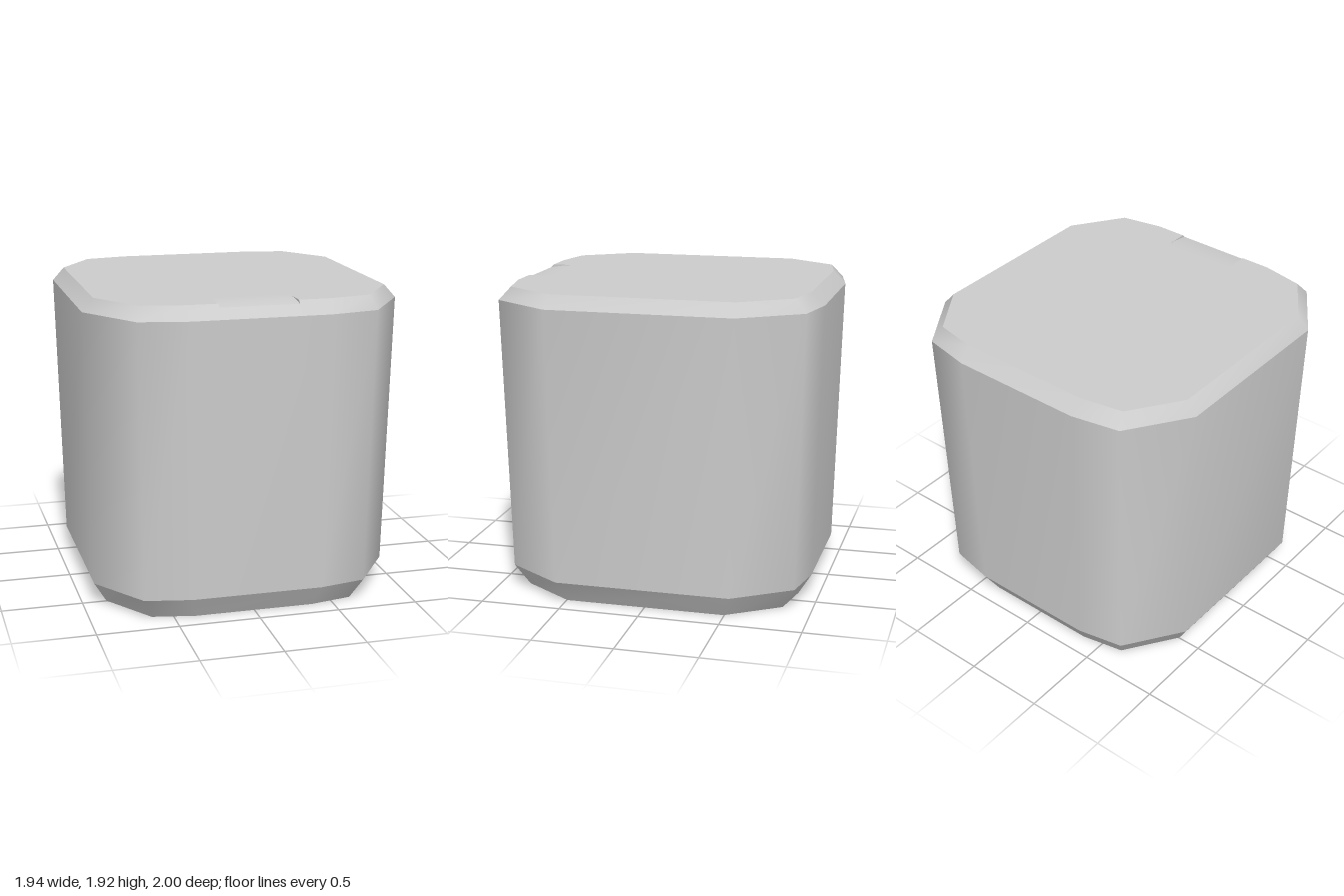
import * as THREE from 'three';

const material = new THREE.MeshStandardMaterial({ color: 0xcccccc });
const doubleMaterial = new THREE.MeshStandardMaterial({ color: 0xcccccc, side: THREE.DoubleSide });

// Outline points [x, z], counter-clockwise from above, mirrored from one quadrant
function outline(quadrant) {
  const q = quadrant, r = [...quadrant].reverse();
  return [
    ...q,
    ...r.map(([x, z]) => [x, -z]),
    ...q.map(([x, z]) => [-x, -z]),
    ...r.map(([x, z]) => [-x, z]),
  ];
}
const atHeight = (points, y) => points.map(([x, z]) => [x, y, z]);
const scaled = (points, sx, sz) => points.map(([x, z]) => [x * sx, z * sz]);

// Closed band of faces between two rings, smooth around its length
function band(lower, upper) {
  const n = lower.length, index = [];
  for (let i = 0; i < n; i++) {
    const j = (i + 1) % n;
    index.push(i, j, n + j, i, n + j, n + i);
  }
  const g = new THREE.BufferGeometry();
  g.setAttribute('position', new THREE.Float32BufferAttribute([...lower, ...upper].flat(), 3));
  g.setIndex(index);
  g.computeVertexNormals();
  return g;
}

// Flat horizontal face with an optional hole
function flatFace(points, y, up, hole) {
  const s = up ? -1 : 1;
  const vectors = (list) => list.map(([x, z]) => new THREE.Vector2(x, s * z));
  const shape = new THREE.Shape(vectors(points));
  if (hole) shape.holes.push(new THREE.Path(vectors(hole)));
  return new THREE.ShapeGeometry(shape).rotateX(s * Math.PI / 2).translate(0, y, 0);
}

export function createModel() {
  const group = new THREE.Group();
  const add = (name, geometry, mat = material) => {
    const mesh = new THREE.Mesh(geometry, mat);
    mesh.name = name;
    group.add(mesh);
  };

  const shoulder = outline([[0.42, 1], [0.72, 0.94], [0.97, 0.57]]);
  const top = outline([[0.43, 0.92], [0.69, 0.87], [0.9, 0.56]]);
  const waist = scaled(shoulder, 0.96, 0.955);
  const foot = scaled(shoulder, 0.876, 0.87);

  // Tapered body with bevelled foot
  add('footBevel', band(atHeight(foot, 0), atHeight(waist, 0.14)));
  add('bodyWall', band(atHeight(waist, 0.14), atHeight(shoulder, 1.84)));

  // Top bevel, its front edge lowered at the finger notch
  const w = 0.24;
  const lowerRing = [...atHeight(shoulder, 1.84), ...[-w, -w, w, w].map((x) => [x, 1.84, 1])];
  const upperRing = [
    ...atHeight(top, 1.92),
    [-w, 1.92, 0.92], [-w, 1.9, 0.94], [w, 1.9, 0.94], [w, 1.92, 0.92],
  ];
  add('topBevel', band(lowerRing, upperRing));
  add('topFace', flatFace([...top, [-w, 0.92], [-w, 0.75], [w, 0.75], [w, 0.92]], 1.92, true));

  // Shallow finger notch curving down to the front edge
  const notchY = (t) => 1.92 - 0.02 * t * t;
  const notch = new THREE.PlaneGeometry(2 * w, 1, 1, 6);
  const p = notch.attributes.position;
  for (let i = 0; i < p.count; i++) {
    const t = 0.5 - p.getY(i);
    p.setXYZ(i, p.getX(i), notchY(t), 0.75 + 0.19 * t);
  }
  notch.computeVertexNormals();
  add('fingerNotch', notch);
  const cheek = [new THREE.Vector2(0.92, 1.92)];
  for (let i = 0; i <= 6; i++) cheek.push(new THREE.Vector2(0.75 + 0.19 * i / 6, notchY(i / 6)));
  for (const x of [-w, w]) {
    const side = new THREE.ShapeGeometry(new THREE.Shape(cheek)).rotateY(-Math.PI / 2).translate(x, 0, 0);
    add('notchSide', side, doubleMaterial);
  }

  // Underside: rim, square recess, shallow funnel and centre stud
  const recess = outline([[0.53, 0.61], [0.61, 0.53]]);
  const depth = 0.09, sides = 8, radius = 0.58;
  add('footRim', flatFace(foot, 0, false, recess));
  add('recessWall', band(atHeight(recess, depth), atHeight(recess, 0)));
  const circle = Array.from({ length: sides }, (_, i) => {
    const a = i / sides * Math.PI * 2;
    return [radius * Math.sin(a), radius * Math.cos(a)];
  });
  add('recessCeiling', flatFace(recess, depth, false, circle));
  const lathe = (pts) => new THREE.LatheGeometry(pts.map(([r, y]) => new THREE.Vector2(r, y)), sides);
  add('recessFunnel', lathe([[0.26, 0.14], [radius, depth]]), doubleMaterial);
  add('centreStud', lathe([[0, 0.07], [0.26, 0.14]]), doubleMaterial);

  return group;
}
